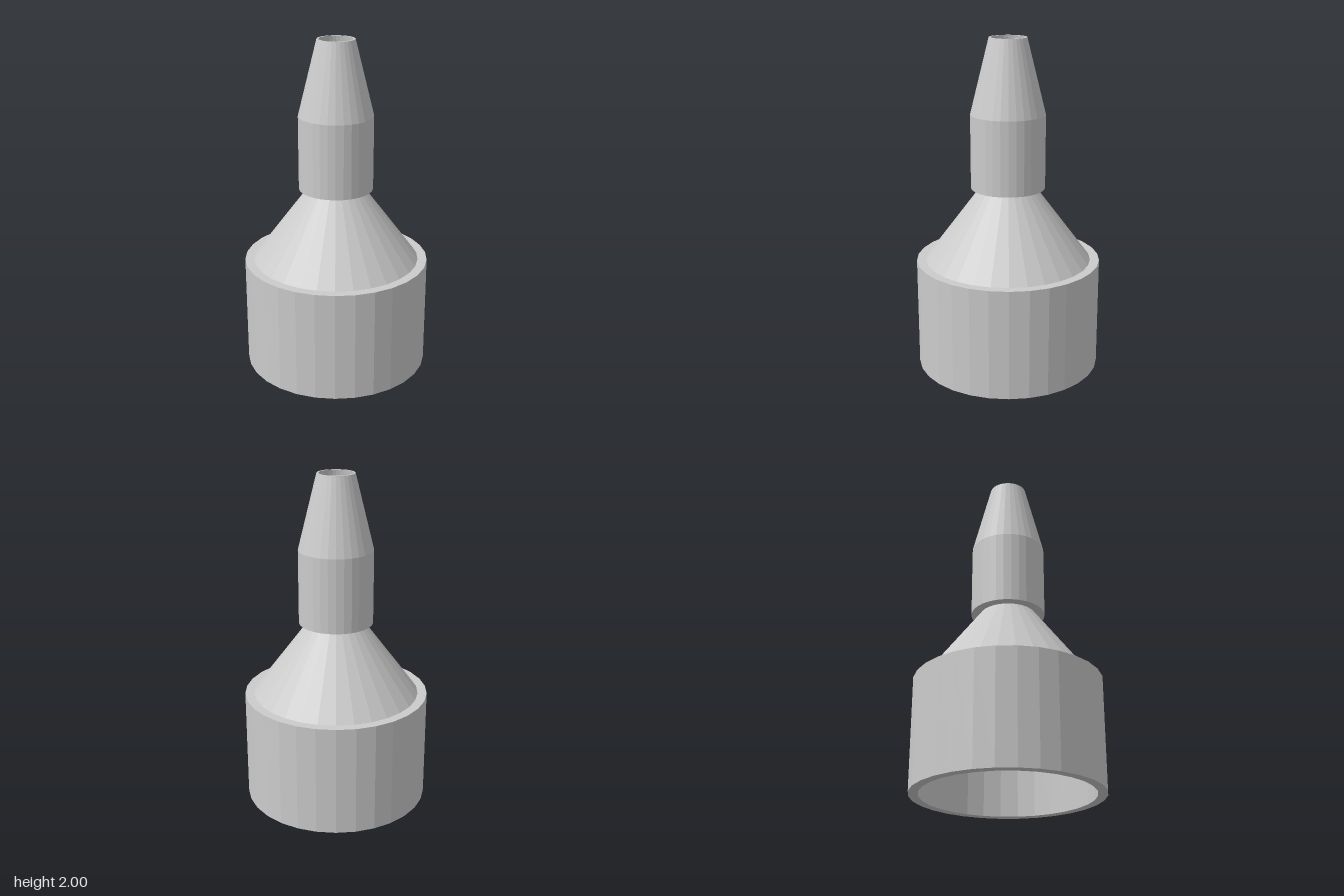
import * as THREE from 'three';

const SIDES = 30;
const U = 1 / 9; // base unit

export function createModel() {
  const model = new THREE.Group();
  const material = new THREE.MeshStandardMaterial({ color: 0xcccccc, flatShading: true });

  // Hollow ring section: outer wall up, top rim, inner wall down, bottom rim
  function sleeve(name, y0, y1, outer0, outer1, inner0, inner1) {
    const profile = [
      [outer0, y0], [outer1, y1], [inner1, y1], [inner0, y0], [outer0, y0],
    ].map(([r, y]) => new THREE.Vector2(r * U, y * U));
    const mesh = new THREE.Mesh(new THREE.LatheGeometry(profile, SIDES), material);
    mesh.name = name;
    model.add(mesh);
  }

  // Wide socket at the bottom, open below
  sleeve('baseCollar', 0, 6, 5, 5, 4.5, 4.5);
  // Funnel narrowing from the socket to the neck
  sleeve('funnelCone', 6, 10, 4.5, 1.5, 4, 1);
  // Straight tube, stepped out from the funnel
  sleeve('neckTube', 10, 14, 2, 2, 1.5, 1.5);
  // Tapered nozzle with an open bore
  sleeve('nozzleTip', 14, 18, 2, 1, 1.5, 0.9);

  return model;
}
